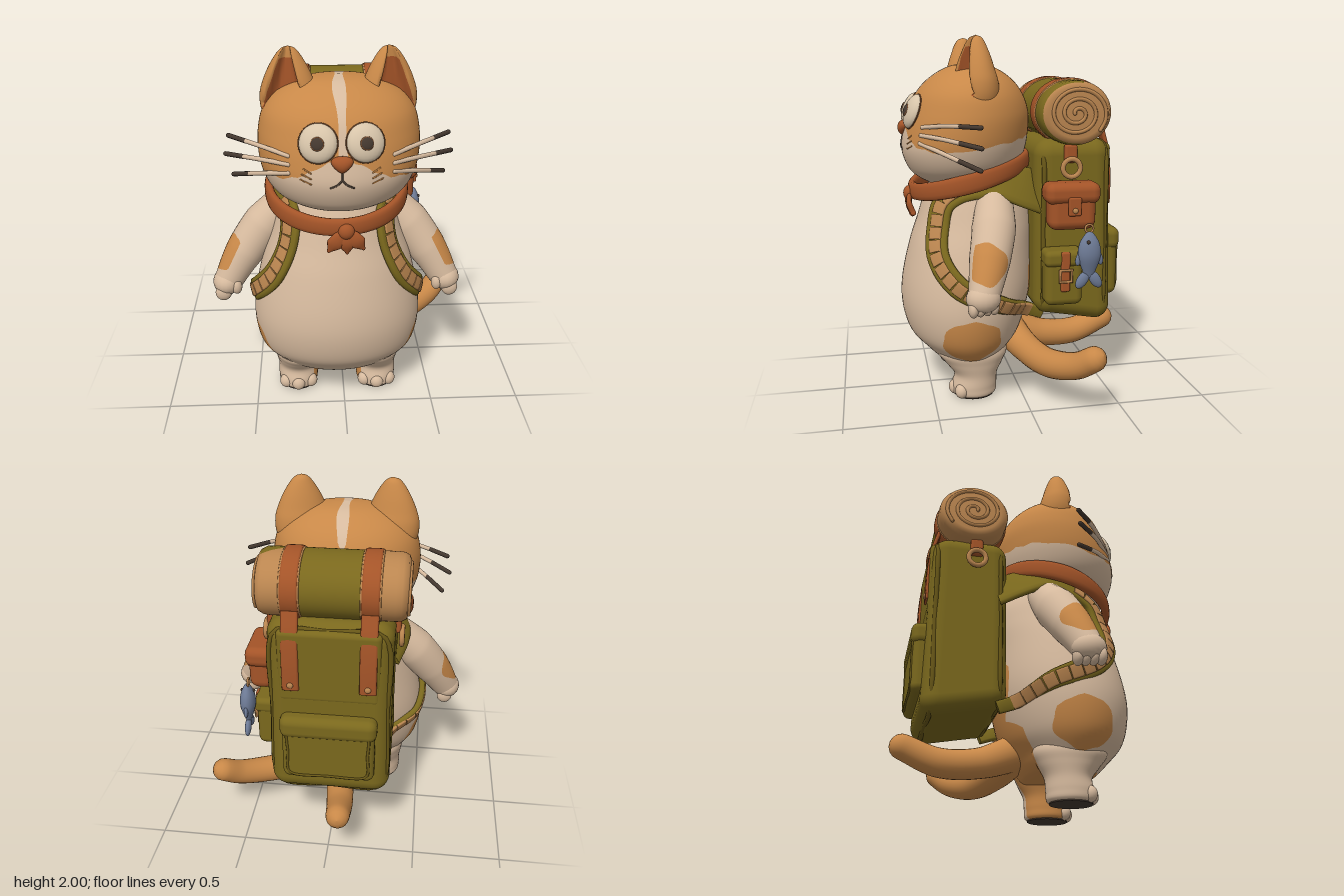
import * as THREE from 'three';
import { RoundedBoxGeometry } from 'three/addons/geometries/RoundedBoxGeometry.js';

const V = (x, y, z) => new THREE.Vector3(x, y, z);
const mat = (name, color) => Object.assign(new THREE.MeshStandardMaterial({ color }), { name });
const cream = mat('cream fur', 0xd6ba9e), orange = mat('orange fur', 0xc88848), rust = mat('rust leather', 0xa45428);
const olive = mat('olive canvas', 0x7a681d), deepOlive = mat('olive piping', 0x685717), tan = mat('tan webbing', 0xbb8650);
const dark = mat('dark brown', 0x44382f), slate = mat('slate blue', 0x6e7b96), seam = mat('seam brown', 0x74492a), white = mat('eye white', 0xd8c5aa);

function add(parent, name, geo, material, pos = [0, 0, 0], rot = [0, 0, 0], scale = [1, 1, 1]) {
  const m = new THREE.Mesh(geo, material);
  m.name = name;
  m.position.set(...pos); m.rotation.set(...rot); m.scale.set(...scale);
  parent.add(m);
}
const ball = (parent, name, material, pos, scale, rot) => add(parent, name, new THREE.SphereGeometry(1, 20, 14), material, pos, rot, scale);
const box = (parent, name, material, pos, size, r) => add(parent, name, new RoundedBoxGeometry(...size, 3, r), material, pos);

// Skin a list of equal-sized rings
function skin(rings, closed = false) {
  const k = rings[0].length, n = rings.length, index = [];
  for (let i = 0; i < (closed ? n : n - 1); i++) for (let j = 0; j < k; j++) {
    const a = i * k + j, b = i * k + (j + 1) % k, c = ((i + 1) % n) * k + j, d = ((i + 1) % n) * k + (j + 1) % k;
    index.push(a, b, c, b, d, c);
  }
  const g = new THREE.BufferGeometry().setFromPoints(rings.flat());
  g.setIndex(index);
  g.computeVertexNormals();
  return g;
}

// Upright loft through rows of [y, half width, front z, back z, centre x]
function loft(rows, s = 1, n = 64, k = 64) {
  const f = new THREE.CubicInterpolant(rows.map((_, i) => i), new Float32Array(rows.flatMap(r => [r[0], r[1], r[2], r[3], r[4] || 0])), 5);
  return skin(Array.from({ length: n + 1 }, (_, i) => {
    const [y, rx, zf, zb, cx] = f.evaluate(i / n * (rows.length - 1));
    return Array.from({ length: k }, (_, j) => {
      const a = j / k * Math.PI * 2;
      return V(s * cx + Math.max(rx, 0.0005) * Math.sin(a), y, (zf + zb) / 2 + Math.max(zf - zb, 0.001) / 2 * Math.cos(a));
    });
  }));
}

// Sweep an oval or flat section along a path; w and t are half sizes, numbers or lists along the path
function sweep(pts, { w, t = w, n = 20, k = 12, out, closed = false, pow = 1, cap = 1 }) {
  const c = new THREE.CatmullRomCurve3(pts.map(p => p.isVector3 ? p : V(...p)), closed);
  const normals = c.computeFrenetFrames(n, closed).normals, rings = [];
  const at = (l, u) => {
    if (!Array.isArray(l)) return l;
    const x = u * (l.length - 1), i = Math.min(Math.floor(x), l.length - 2);
    return l[i] + (l[i + 1] - l[i]) * (x - i);
  };
  const bend = x => Math.sign(x) * Math.abs(x) ** pow;
  const ring = (i, s, push) => {
    const u = i / n, p = c.getPointAt(u), T = c.getTangentAt(u), O = out ? out(p) : normals[i].clone();
    O.addScaledVector(T, -O.dot(T)).normalize();
    const S = O.clone().cross(T);
    p.addScaledVector(T, push * cap * at(t, u));
    rings.push(Array.from({ length: k }, (_, j) => {
      const a = j / k * Math.PI * 2;
      return p.clone().addScaledVector(S, bend(Math.cos(a)) * s * at(w, u)).addScaledVector(O, bend(Math.sin(a)) * s * at(t, u));
    }));
  };
  const caps = [0.01, 0.4, 0.8, 1.2];
  if (!closed) caps.forEach(e => ring(0, Math.sin(e), -Math.cos(e)));
  for (let i = 0; i < (closed ? n : n + 1); i++) ring(i, 1, 0);
  if (!closed) caps.reverse().forEach(e => ring(n, Math.sin(e), Math.cos(e)));
  return skin(rings, closed);
}

// Cut a surface along field = 0 and colour the two sides
function painted(parent, name, geo, field, inside, outside) {
  const g = geo.toNonIndexed(), P = g.attributes.position, N = g.attributes.normal;
  [[1, inside, ' marking'], [-1, outside, '']].forEach(([sg, material, suffix]) => {
    const pos = [], nor = [];
    for (let i = 0; i < P.count; i += 3) {
      const tri = [0, 1, 2].map(j => {
        const p = V().fromBufferAttribute(P, i + j);
        return { p, n: V().fromBufferAttribute(N, i + j), d: sg * field(p) };
      });
      const poly = [];
      tri.forEach((a, j) => {
        const b = tri[(j + 1) % 3];
        if (a.d >= 0) poly.push(a);
        if ((a.d >= 0) !== (b.d >= 0)) {
          const u = a.d / (a.d - b.d);
          poly.push({ p: a.p.clone().lerp(b.p, u), n: a.n.clone().lerp(b.n, u).normalize() });
        }
      });
      for (let j = 1; j + 1 < poly.length; j++) for (const q of [poly[0], poly[j], poly[j + 1]]) { pos.push(...q.p); nor.push(...q.n); }
    }
    const h = new THREE.BufferGeometry();
    h.setAttribute('position', new THREE.Float32BufferAttribute(pos, 3));
    h.setAttribute('normal', new THREE.Float32BufferAttribute(nor, 3));
    add(parent, name + suffix, h, material);
  });
}
function hit(geo, from, dir) {
  return new THREE.Raycaster(from, dir).intersectObject(new THREE.Mesh(geo, cream))[0];
}

function buildBody(g) {
  const fur = p => {
    const x = Math.abs(p.x), wob = 0.06 * Math.sin(p.y * 60) + 0.06 * Math.sin(p.z * 50);
    const hip = Math.min(1 + wob - ((p.z - 0.3) / 0.16) ** 2 - ((p.y - 0.38) / 0.13) ** 2, (x - 0.2) * 8);
    const seat = Math.min(0.14 + Math.max(0, 0.3 - p.z) * 0.4 - x, 0.2 + Math.max(0, 0.2 - p.z) - p.y);
    return Math.max(hip, seat * 8, Math.min(-0.05 - p.z, p.y - 0.38, 0.75 - p.y) * 8);
  };
  const torso = loft([[0.175, 0, 0.28, 0.28], [0.18, 0.2, 0.42, 0.12], [0.205, 0.315, 0.475, 0.07], [0.27, 0.385, 0.54, 0.03], [0.36, 0.44, 0.615, -0.03], [0.5, 0.465, 0.65, -0.075],
    [0.65, 0.455, 0.645, -0.1], [0.85, 0.41, 0.6, -0.1], [1, 0.36, 0.55, -0.1], [1.15, 0.31, 0.5, -0.07], [1.28, 0.24, 0.42, 0.04], [1.32, 0, 0.25, 0.25]]);
  painted(g, 'torso', torso, fur, orange, cream);
  for (const s of [1, -1]) {
    painted(g, 'leg', loft([[0.004, 0, 0.27, 0.27, 0.23], [0.008, 0.1, 0.38, 0.155, 0.23], [0.06, 0.115, 0.395, 0.14, 0.23], [0.13, 0.117, 0.38, 0.135, 0.228],
      [0.2, 0.135, 0.43, 0.1, 0.222], [0.27, 0.148, 0.475, 0.075, 0.215], [0.36, 0.1, 0.42, 0.12, 0.21], [0.42, 0, 0.28, 0.28, 0.21]], s, 40, 40), fur, orange, cream);
    add(g, 'sole', new THREE.CylinderGeometry(0.1, 0.1, 0.006, 32), dark, [s * 0.23, 0.004, 0.268], [0, 0, 0], [1, 1, 1.12]);
    for (const dx of [-0.07, 0, 0.07]) ball(g, 'toe', cream, [s * 0.23 + dx, 0.045, 0.375 - Math.abs(dx) * 0.4], [0.04, 0.043, 0.038]);
    painted(g, 'arm', sweep([[s * 0.27, 1.13, 0.15], [s * 0.41, 0.99, 0.18], [s * 0.535, 0.82, 0.23], [s * 0.605, 0.7, 0.265]], { w: [0.1, 0.118, 0.108, 0.082], n: 40, k: 32 }),
      p => Math.min(1 + 0.1 * Math.sin(p.z * 60) - ((p.y - 0.865) / 0.1) ** 2 - ((p.z - 0.25) / 0.11) ** 2, (p.x * s - 0.565 + 0.5 * (p.y - 0.865)) * 10), orange, cream);
    ball(g, 'palm', cream, [s * 0.615, 0.69, 0.27], [0.08, 0.075, 0.09]);
    for (let i = 0; i < 4; i++) ball(g, 'finger', cream, [s * (0.635 - 0.01 * i), 0.645, 0.325 - 0.037 * i], [0.045, 0.048, 0.028]);
    ball(g, 'thumb', cream, [s * 0.56, 0.68, 0.32], [0.03, 0.045, 0.032]);
    // Shoulder straps follow the torso surface
    const pts = [[0.24, 1.16, -0.12], [0.29, 1.2, 0], [0.3, 1.24, 0.16]].map(p => V(p[0] * s, p[1], p[2]));
    for (const [deg, y] of [[60, 1.13], [55, 1], [60, 0.84], [78, 0.69], [108, 0.58], [135, 0.51]]) {
      const a = deg * Math.PI / 180, d = V(s * Math.sin(a), 0, Math.cos(a));
      pts.push(hit(torso, V(0, y, 0.27).addScaledVector(d, 3), d.clone().negate()).point.addScaledVector(d, 0.012));
    }
    pts.push(V(s * 0.27, 0.47, -0.12));
    const out = p => V(p.x, (p.y - 0.85) * 0.5, p.z - 0.25);
    add(g, 'strapPad', sweep(pts, { w: [0.14, 0.11, 0.07, 0.068, 0.066, 0.06, 0.042, 0.034], t: 0.02, n: 64, out, pow: 0.5, cap: 0 }), olive);
    const curve = new THREE.CatmullRomCurve3(pts);
    for (let i = 0; i < 17; i++) {
      const seg = [0, 0.5, 1].map(q => { const p = curve.getPointAt(0.27 + (i + q * 0.92) * 0.04); return p.addScaledVector(out(p).normalize(), 0.015); });
      add(g, 'strapWebbing', sweep(seg, { w: 0.037, t: 0.013, n: 2, out, pow: 0.4, cap: 0 }), tan);
    }
  }
  // Two tails
  for (const p of [[[0, 0.32, 0.04], [0.2, 0.25, -0.03], [0.44, 0.235, -0.12], [0.61, 0.28, -0.23], [0.69, 0.345, -0.3]], [[0, 0.32, 0.04], [0, 0.25, -0.16], [-0.02, 0.235, -0.38], [-0.03, 0.305, -0.575]]])
    add(g, 'tail', sweep(p, { w: [0.1, 0.082, 0.078, 0.068], n: 32, k: 24 }), orange);
  // Neckerchief
  const loop = Array.from({ length: 16 }, (_, i) => { const a = i / 8 * Math.PI; return V(0.36 * Math.sin(a), 1.25 - 0.09 * Math.cos(a), 0.25 + 0.325 * Math.cos(a)); });
  add(g, 'neckerchief', sweep(loop, { w: [0.046, 0.055, 0.045, 0.055, 0.046], t: 0.024, n: 64, k: 16, closed: true, out: p => V(p.x, 0, p.z - 0.25), pow: 0.8 }), rust);
  ball(g, 'neckerchiefKnot', rust, [0.035, 1.145, 0.595], [0.042, 0.042, 0.033]);
  for (const [x, y] of [[-0.05, 1.035], [0.12, 1.045], [0.04, 1.025]])
    add(g, 'neckerchiefEnd', sweep([[0.035, 1.145, 0.59], [0.035 + (x - 0.035) * 0.6, (y + 1.14) / 2, 0.6], [x, y, 0.58]], { w: [0.02, 0.04, 0.042, 0.012], t: 0.016, out: () => V(0, 0, 1) }), rust);
}

function buildHead(g) {
  const head = loft([[1.19, 0, 0.3, 0.3], [1.2, 0.19, 0.46, 0.1], [1.25, 0.3, 0.56, 0.03], [1.31, 0.365, 0.605, -0.03], [1.4, 0.405, 0.63, -0.065], [1.5, 0.42, 0.615, -0.08],
    [1.6, 0.415, 0.585, -0.08], [1.7, 0.385, 0.54, -0.045], [1.78, 0.31, 0.465, 0.02], [1.84, 0.18, 0.36, 0.12], [1.86, 0, 0.25, 0.25]], 1, 76, 80);
  painted(g, 'head', head, p => {
    const jaw = 1.4 + (p.z > 0.25 ? 0.13 * Math.exp(-((p.x / 0.19) ** 2)) : 0) + 0.16 * Math.max(0, 0.4 - p.z) + 0.006 * Math.sin(p.x * 70) - p.y;
    return Math.max(jaw, Math.min(0.027 + 0.007 * Math.sin(p.z * 20) - Math.abs(p.x - 0.006 * Math.sin(p.z * 13)), p.z + 0.05, p.y - 1.45));
  }, cream, orange);
  const face = (x, y, lift = 0) => { const h = hit(head, V(x, y, 3), V(0, 0, -1)); return h.point.addScaledVector(h.face.normal, lift); };
  for (const s of [1, -1]) {
    // Ears with a dished, coloured inside
    const ear = loft([[-0.12, 0.11, 0.08, -0.08], [-0.03, 0.148, 0.115, -0.115], [0.05, 0.152, 0.115, -0.11], [0.12, 0.132, 0.098, -0.09], [0.19, 0.1, 0.075, -0.07],
      [0.25, 0.062, 0.05, -0.048], [0.28, 0.033, 0.028, -0.03], [0.292, 0, 0, 0]], 1, 40, 48);
    const P = ear.attributes.position, width = y => 0.175 * (1 - y / 0.33);
    for (let i = 0; i < P.count; i++) if (P.getZ(i) > 0 && P.getY(i) > 0)
      P.setZ(i, P.getZ(i) * (1 - 0.85 * THREE.MathUtils.smoothstep(1 - Math.abs(P.getX(i)) / width(P.getY(i)), 0.25, 0.6)));
    ear.computeVertexNormals();
    const e = new THREE.Group();
    e.name = 'ear';
    e.position.set(s * 0.252, 1.71, 0.245);
    e.rotation.set(0, s * 0.3, 0);
    g.add(e);
    painted(e, 'ear', ear, p => Math.min(0.66 * width(p.y) - Math.abs(p.x), p.z, 0.235 - p.y), rust, orange);
    // Eyes
    const h = hit(head, V(s * 0.115, 1.605, 3), V(0, 0, -1)), eye = new THREE.Group();
    eye.name = 'eye';
    eye.position.copy(h.point);
    eye.quaternion.setFromUnitVectors(V(0, 0, 1), h.face.normal.clone().normalize());
    g.add(eye);
    ball(eye, 'eyeball', white, [0, 0, -0.005], [0.096, 0.096, 0.045]);
    add(eye, 'eyeRim', new THREE.TorusGeometry(0.096, 0.004, 8, 40), seam, [0, 0, -0.004]);
    ball(eye, 'iris', seam, [-s * 0.004, -0.004, 0.036], [0.034, 0.034, 0.009]);
    ball(eye, 'pupil', dark, [-s * 0.004, -0.004, 0.037], [0.031, 0.031, 0.011]);
    // Mouth halves, cheek marks and whiskers
    add(g, 'mouth', sweep([face(0, 1.435), face(s * 0.025, 1.41), face(s * 0.055, 1.395)], { w: 0.005, n: 8, k: 8 }), dark);
    for (let i = 0; i < 3; i++) {
      const y = 1.48 - i * 0.027;
      add(g, 'cheekMark', sweep([face(s * 0.15, y - 0.018), face(s * (0.185 + 0.008 * i), y)], { w: 0.004, n: 4, k: 8 }), orange);
      const a = face(s * 0.26, 1.53 - i * 0.042, -0.005), b = V(s * [0.57, 0.59, 0.555][i], [1.55, 1.45, 1.335][i], 0.27);
      const c = a.clone().lerp(b, 0.45).add(V(0, 0.008, 0.015)), d = a.clone().lerp(b, 0.7).add(V(0, 0.006, 0.012));
      add(g, 'whisker', sweep([a, c, d], { w: 0.012, n: 12, k: 10 }), cream);
      add(g, 'whiskerTip', sweep([d, b], { w: 0.0125, n: 6, k: 10 }), dark);
    }
  }
  add(g, 'mouthLine', sweep([face(0, 1.49), face(0, 1.435)], { w: 0.005, n: 4, k: 8 }), dark);
  const nose = new THREE.SphereGeometry(1, 28, 20), P = nose.attributes.position;
  for (let i = 0; i < P.count; i++) P.setX(i, P.getX(i) * (0.75 + 0.35 * P.getY(i)));
  nose.computeVertexNormals();
  add(g, 'nose', nose, rust, face(0, 1.51).toArray(), [0, 0, 0], [0.066, 0.042, 0.035]);
}

function buildPack(g) {
  const main = new RoundedBoxGeometry(0.66, 1.04, 0.42, 5, 0.09), P = main.attributes.position;
  for (let i = 0; i < P.count; i++) {
    const y = P.getY(i), z = P.getZ(i);
    if (z < 0) P.setZ(i, z - 0.03 * (0.5 - y));
    if (y < 0 && z > 0) P.setY(i, y + 0.05);
  }
  add(g, 'packBody', main, olive, [-0.01, 0.94, -0.275]);
  const frame = (x, y, hx, hy, z) => [[-1, -0.85], [-0.85, -1], [0, -1], [0.85, -1], [1, -0.85], [1, 0], [1, 0.85], [0.85, 1], [0, 1], [-0.85, 1], [-1, 0.85], [-1, 0]].map(([a, b]) => V(x + a * hx, y + b * hy, z));
  add(g, 'packPiping', sweep(frame(-0.01, 0.93, 0.305, 0.49, -0.46), { w: 0.014, n: 72, k: 8, closed: true }), deepOlive);
  add(g, 'packFrontPiping', sweep(frame(-0.01, 0.96, 0.31, 0.46, -0.11), { w: 0.014, n: 72, k: 8, closed: true }), deepOlive);
  box(g, 'packLid', olive, [-0.01, 1.22, -0.465], [0.54, 0.42, 0.07], 0.03);
  box(g, 'backPocket', olive, [-0.01, 0.74, -0.515], [0.5, 0.38, 0.1], 0.04);
  box(g, 'backPocketFlap', olive, [-0.01, 0.88, -0.518], [0.52, 0.13, 0.115], 0.045);
  add(g, 'pocketPiping', sweep(frame(-0.01, 0.73, 0.215, 0.15, -0.563), { w: 0.008, n: 64, k: 8, closed: true }), deepOlive);
  // Bedroll with spiral ends
  const prof = [[0.001, -0.385], [0.15, -0.385], [0.18, -0.375], [0.195, -0.35]];
  for (let i = 1; i < 24; i++) prof.push([0.198, -0.35 + i * 0.7 / 24]);
  prof.push([0.195, 0.35], [0.18, 0.375], [0.15, 0.385], [0.001, 0.385]);
  const roll = new THREE.LatheGeometry(prof.map(p => new THREE.Vector2(...p)), 56).rotateZ(-Math.PI / 2).scale(1, 0.87, 1).translate(-0.015, 1.6, -0.272);
  painted(g, 'bedroll', roll, p => Math.max(0.165 - Math.abs(p.x + 0.012), Math.min(p.x - 0.25 - 0.02 * Math.sin(p.z * 30), 0.355 - p.x, p.z + 0.33 + (p.x - 0.36) * 0.7)), olive, tan);
  for (const s of [1, -1]) {
    const spiral = Array.from({ length: 40 }, (_, i) => { const a = i * 0.42, r = 0.015 + 0.0038 * i; return V(-0.015 + s * 0.384, 1.6 + 0.87 * r * Math.sin(a), -0.272 + r * Math.cos(a)); });
    add(g, 'bedrollSpiral', sweep(spiral, { w: 0.011, n: 110, k: 6 }), tan);
    // Leather straps round the roll and down the back
    const x = -0.012 + s * 0.202, mid = V(x, 1.6, -0.272);
    const loop = Array.from({ length: 16 }, (_, i) => V(x, 1.6 + 0.172 * Math.sin(i * Math.PI / 8), -0.272 + 0.197 * Math.cos(i * Math.PI / 8)));
    for (const [name, material, w, t] of [['rollStrapEdge', tan, 0.053, 0.006], ['rollStrap', rust, 0.046, 0.011]])
      add(g, name, sweep(loop, { w, t, n: 56, closed: true, out: p => p.clone().sub(mid), pow: 0.4 }), material);
    add(g, 'backStrap', sweep([[x, 1.52, -0.452], [x, 1.4, -0.485], [x, 1.25, -0.5], [x, 1.09, -0.5]], { w: 0.045, t: 0.012, out: () => V(0, 0, -1), pow: 0.4, cap: 0.5 }), rust);
    ball(g, 'rivet', tan, [x, 1.12, -0.513], [0.017, 0.017, 0.01]);
    // Side rings
    box(g, 'ringLoop', rust, [-0.01 + s * 0.335, 1.385, -0.25], [0.04, 0.1, 0.07], 0.015);
    add(g, 'sideRing', new THREE.TorusGeometry(0.048, 0.014, 10, 28), tan, [-0.01 + s * 0.36, 1.31, -0.25], [0, Math.PI / 2, 0]);
  }
  // Leather pouch
  box(g, 'leatherPouch', rust, [0.375, 1.1, -0.24], [0.14, 0.23, 0.26], 0.05);
  box(g, 'leatherPouchFlap', rust, [0.38, 1.185, -0.24], [0.16, 0.115, 0.3], 0.045);
  box(g, 'pouchTab', rust, [0.458, 1.12, -0.24], [0.025, 0.1, 0.07], 0.01);
  ball(g, 'pouchStud', tan, [0.471, 1.1, -0.24], [0.01, 0.015, 0.015]);
  // Canvas pouch
  box(g, 'canvasPouch', olive, [0.365, 0.71, -0.2], [0.13, 0.29, 0.21], 0.04);
  box(g, 'canvasPouchFlap', olive, [0.37, 0.83, -0.2], [0.145, 0.09, 0.22], 0.03);
  box(g, 'canvasPouchStrap', rust, [0.435, 0.76, -0.2], [0.025, 0.22, 0.05], 0.01);
  add(g, 'buckle', new THREE.TorusGeometry(0.045, 0.01, 4, 4).rotateZ(Math.PI / 4), tan, [0.45, 0.74, -0.2], [0, Math.PI / 2, 0]);
  // Hanging fish charm
  const fish = new THREE.Group();
  fish.name = 'fishCharm';
  fish.position.set(0.47, 0, -0.32);
  g.add(fish);
  add(fish, 'fishBody', loft([[0.73, 0.008, 0.02, -0.02], [0.77, 0.02, 0.036, -0.036], [0.85, 0.042, 0.062, -0.062], [0.92, 0.038, 0.055, -0.055], [0.975, 0.015, 0.022, -0.022], [0.985, 0, 0, 0]], 1, 28, 24), slate);
  for (const s of [1, -1]) {
    ball(fish, 'fishTail', slate, [0, 0.722, s * 0.035], [0.018, 0.055, 0.03], [-s * 0.6, 0, 0]);
    ball(fish, 'fishFin', slate, [0, 0.84, s * 0.055], [0.012, 0.04, 0.02], [-s * 0.3, 0, 0]);
    ball(fish, 'fishEye', dark, [s * 0.032, 0.935, 0.015], [0.01, 0.01, 0.01]);
  }
  add(fish, 'fishRing', new THREE.TorusGeometry(0.022, 0.006, 8, 20), tan, [-0.01, 1.0, 0], [0, Math.PI / 2, 0]);
}

export function createModel() {
  const model = new THREE.Group();
  model.name = 'catWithBackpack';
  for (const [name, x, build] of [['body', -0.035, buildBody], ['head', -0.022, buildHead], ['backpack', 0, buildPack]]) {
    const g = new THREE.Group();
    g.name = name;
    g.position.x = x;
    build(g);
    model.add(g);
  }
  return model;
}
